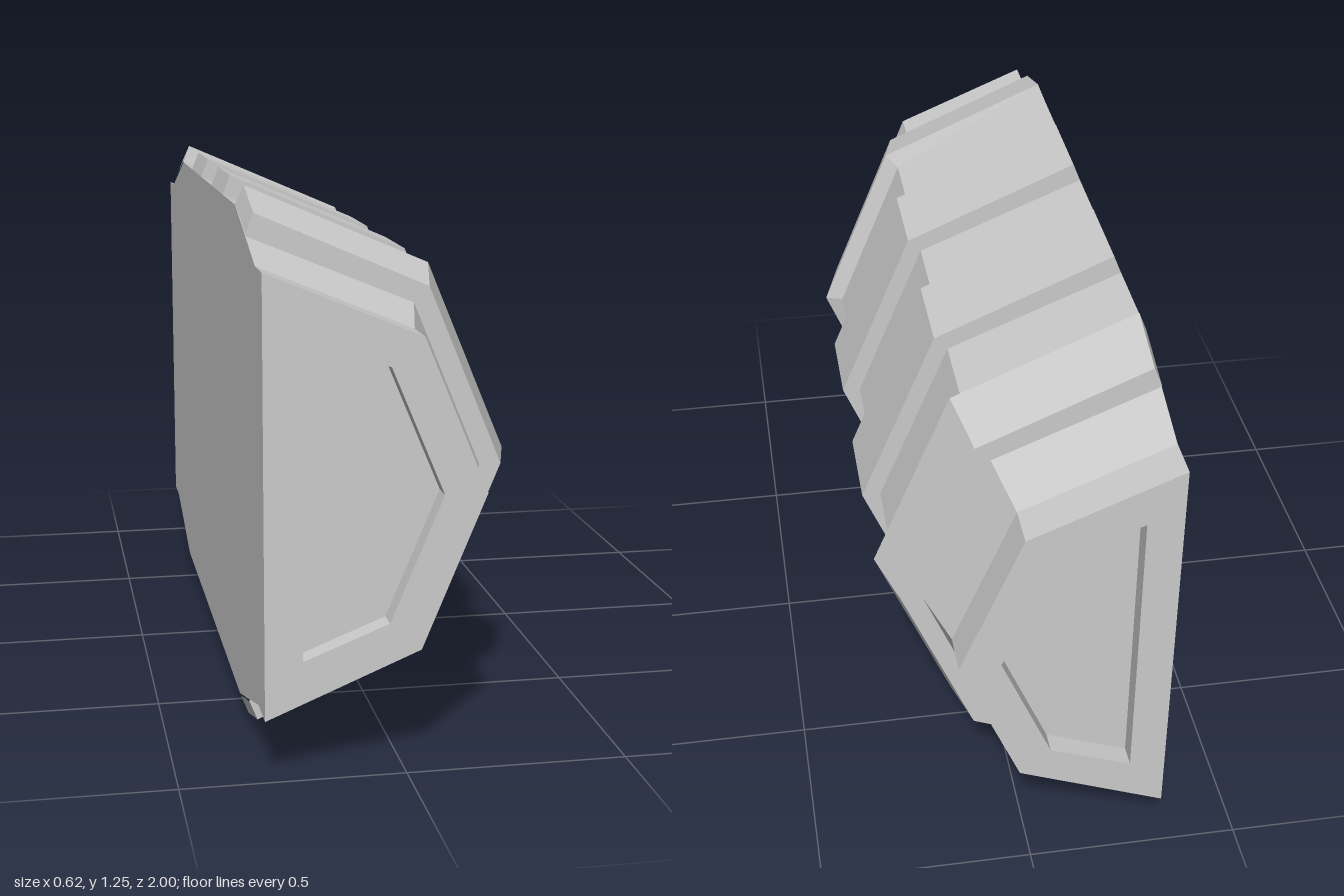
import * as THREE from 'three';

const BACK = -0.3125, MID = 0.625;

// Mirror an upper half outline (last point on the axis) into a full section
function section(half, z) {
  const lower = half.slice(0, -1).reverse().map(([x, y]) => [x, -y]);
  return [...half, ...lower].map(([x, y]) => new THREE.Vector3(BACK + x, MID + y, z));
}

// Half octagon of radius r
const hull = (r, z) => section([[0, r], [r * Math.SQRT1_2, r * Math.SQRT1_2], [r, 0]], z);

// Half octagon with a small bevel where it meets the flat back
const rim = (r, z, bevel = 0.045) =>
  section([[0, r - bevel], [bevel * 0.4, r], [r * Math.SQRT1_2, r * Math.SQRT1_2], [r, 0]], z);

// Outline of the inset panel at each end
const inset = (z) => section([[0.0825, 0.355], [0.2725, 0.28], [0.39, 0]], z);

// Skin the sections (ordered from +z to -z) and cap both ends
function loft(name, sections, material, closedBack) {
  const pos = [];
  const tri = (...pts) => pts.forEach((p) => pos.push(p.x, p.y, p.z));
  const n = sections[0].length;
  for (let s = 0; s < sections.length - 1; s++) {
    const a = sections[s], b = sections[s + 1];
    for (let i = 0; i < (closedBack ? n : n - 1); i++) {
      const j = (i + 1) % n;
      tri(a[i], a[j], b[j]);
      tri(a[i], b[j], b[i]);
    }
  }
  const first = sections[0], last = sections[sections.length - 1];
  for (let i = 1; i < n - 1; i++) {
    tri(first[0], first[i + 1], first[i]);
    tri(last[0], last[i], last[i + 1]);
  }
  const geometry = new THREE.BufferGeometry();
  geometry.setAttribute('position', new THREE.Float32BufferAttribute(pos, 3));
  geometry.computeVertexNormals();
  const mesh = new THREE.Mesh(geometry, material);
  mesh.name = name;
  return mesh;
}

export function createModel() {
  const group = new THREE.Group();
  group.name = 'halfBarrel';
  const material = new THREE.MeshStandardMaterial({ color: 0xcccccc, flatShading: true });

  // Body with recessed end panels
  group.add(loft('body', [
    inset(0.95), inset(1),
    hull(0.485, 1), hull(0.485, 0.9), hull(0.53, 0.75), hull(0.58, 0.58),
    hull(0.58, -0.58), hull(0.53, -0.75), hull(0.485, -0.9), hull(0.485, -1),
    inset(-1), inset(-0.95),
  ], material, true));

  // Flared shoulder bands
  group.add(loft('frontShoulder', [
    rim(0.58, 0.75), rim(0.625, 0.595), rim(0.58, 0.58, 0),
  ], material, false));
  group.add(loft('backShoulder', [
    rim(0.58, -0.58, 0), rim(0.625, -0.595), rim(0.58, -0.75),
  ], material, false));

  // Straight raised bands
  for (const [name, z] of [['frontBand', 0.232], ['backBand', -0.232]]) {
    group.add(loft(name, [rim(0.625, z + 0.115), rim(0.625, z - 0.115)], material, false));
  }
  return group;
}
